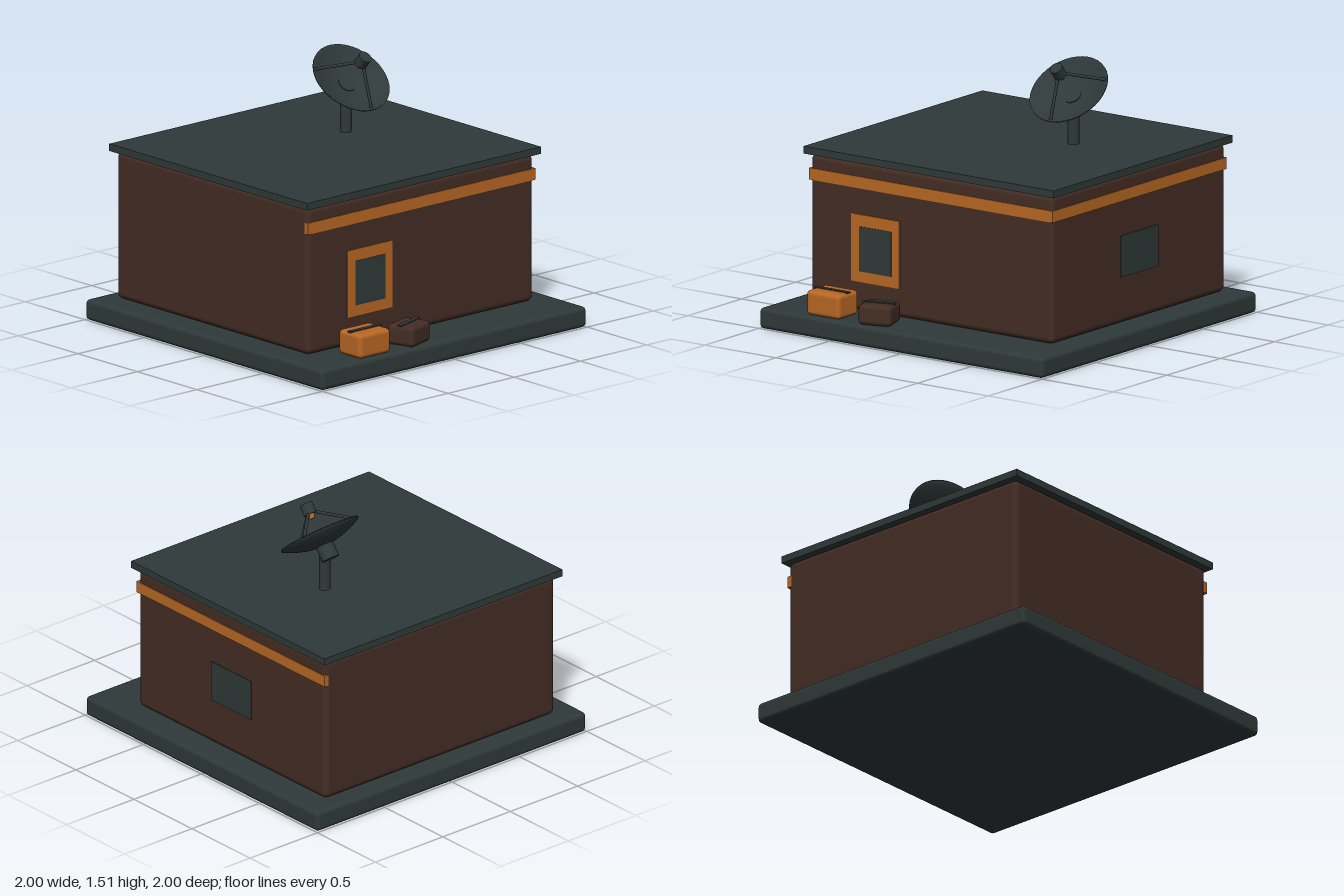
import * as THREE from 'three';
import { RoundedBoxGeometry } from 'three/addons/geometries/RoundedBoxGeometry.js';

export function createModel() {
  const slate = new THREE.MeshStandardMaterial({ color: 0x2f3939 });
  slate.name = 'slate';
  const brown = new THREE.MeshStandardMaterial({ color: 0x442d24 });
  brown.name = 'brown';
  const orange = new THREE.MeshStandardMaterial({ color: 0xb96824 });
  orange.name = 'orange';

  const model = new THREE.Group();
  model.name = 'outpost';

  const add = (parent, name, geometry, material, x = 0, y = 0, z = 0) => {
    const mesh = new THREE.Mesh(geometry, material);
    mesh.name = name;
    mesh.position.set(x, y, z);
    parent.add(mesh);
    return mesh;
  };
  const box = (w, h, d) => new THREE.BoxGeometry(w, h, d);
  const rounded = (w, h, d, r) => new RoundedBoxGeometry(w, h, d, 3, r);

  // Foundation, walls and roof
  add(model, 'foundation', rounded(2, 0.12, 2, 0.025), slate, 0, 0.06, 0);
  add(model, 'walls', rounded(1.71, 0.86, 1.615, 0.035), brown, 0, 0.55, -0.0925);
  add(model, 'roof', box(1.765, 0.042, 1.665), slate, 0, 1.0, -0.0925);

  // Trim bands on the front and right-hand walls
  add(model, 'frontBand', box(1.716, 0.067, 0.03), orange, 0, 0.862, 0.705);
  add(model, 'sideBand', box(0.03, 0.067, 1.62), orange, 0.845, 0.862, -0.09);

  // Framed front window and plain side window
  add(model, 'windowFrame', box(0.338, 0.39, 0.008), orange, -0.39, 0.483, 0.717);
  add(model, 'windowPane', box(0.225, 0.26, 0.008), slate, -0.388, 0.48, 0.72);
  add(model, 'sideWindow', box(0.008, 0.24, 0.345), slate, 0.856, 0.51, -0.092);

  // Strapped crates on the front step
  const crate = (name, w, h, d, material, x, z, turn) => {
    const group = new THREE.Group();
    group.name = name;
    group.position.set(x, 0.12, z);
    group.rotation.y = turn;
    add(group, 'crateBody', rounded(w, h, d, 0.025), material, 0, h / 2, 0);
    add(group, 'crateStrap', box(w, 0.008, 0.028), slate, 0, h + 0.001, 0);
    model.add(group);
  };
  crate('orangeCrate', 0.235, 0.142, 0.188, orange, -0.573, 0.879, 0);
  crate('brownCrate', 0.198, 0.118, 0.176, brown, -0.24, 0.88, 0.3);

  // Dish mast
  add(model, 'mast', new THREE.CylinderGeometry(0.033, 0.033, 0.23, 24), slate, 0.285, 1.125, -0.233);

  // Dish assembly, built along +y then tilted forward
  const dish = new THREE.Group();
  dish.name = 'dish';
  dish.position.set(0.285, 1.345, -0.187);
  dish.rotation.x = 0.684;
  model.add(dish);

  const radius = 0.237, depth = 0.065, steps = 10, profile = [];
  const bowl = (t, drop) => new THREE.Vector2(radius * t, depth * (t * t - 1) - drop);
  for (let i = 0; i <= steps; i++) profile.push(bowl(i / steps, 0.01));
  for (let i = steps; i >= 0; i--) profile.push(bowl(i / steps, 0));
  add(dish, 'reflector', new THREE.LatheGeometry(profile, 40), slate);
  add(dish, 'dishHub', new THREE.CylinderGeometry(0.052, 0.052, 0.1, 24), slate, 0, -0.107, 0);

  // Feed horn held by three struts
  add(dish, 'feed', new THREE.CylinderGeometry(0.038, 0.038, 0.065, 24), slate, 0, 0.152, 0);
  add(dish, 'feedTip', new THREE.CylinderGeometry(0.024, 0.014, 0.03, 20), orange, 0, 0.107, 0);
  for (let i = 0; i < 3; i++) {
    const angle = (i * Math.PI * 2) / 3;
    const path = new THREE.LineCurve3(
      new THREE.Vector3(Math.sin(angle) * 0.222, -0.008, Math.cos(angle) * 0.222),
      new THREE.Vector3(Math.sin(angle) * 0.022, 0.128, Math.cos(angle) * 0.022)
    );
    add(dish, 'strut', new THREE.TubeGeometry(path, 1, 0.009, 10), slate);
  }

  return model;
}
